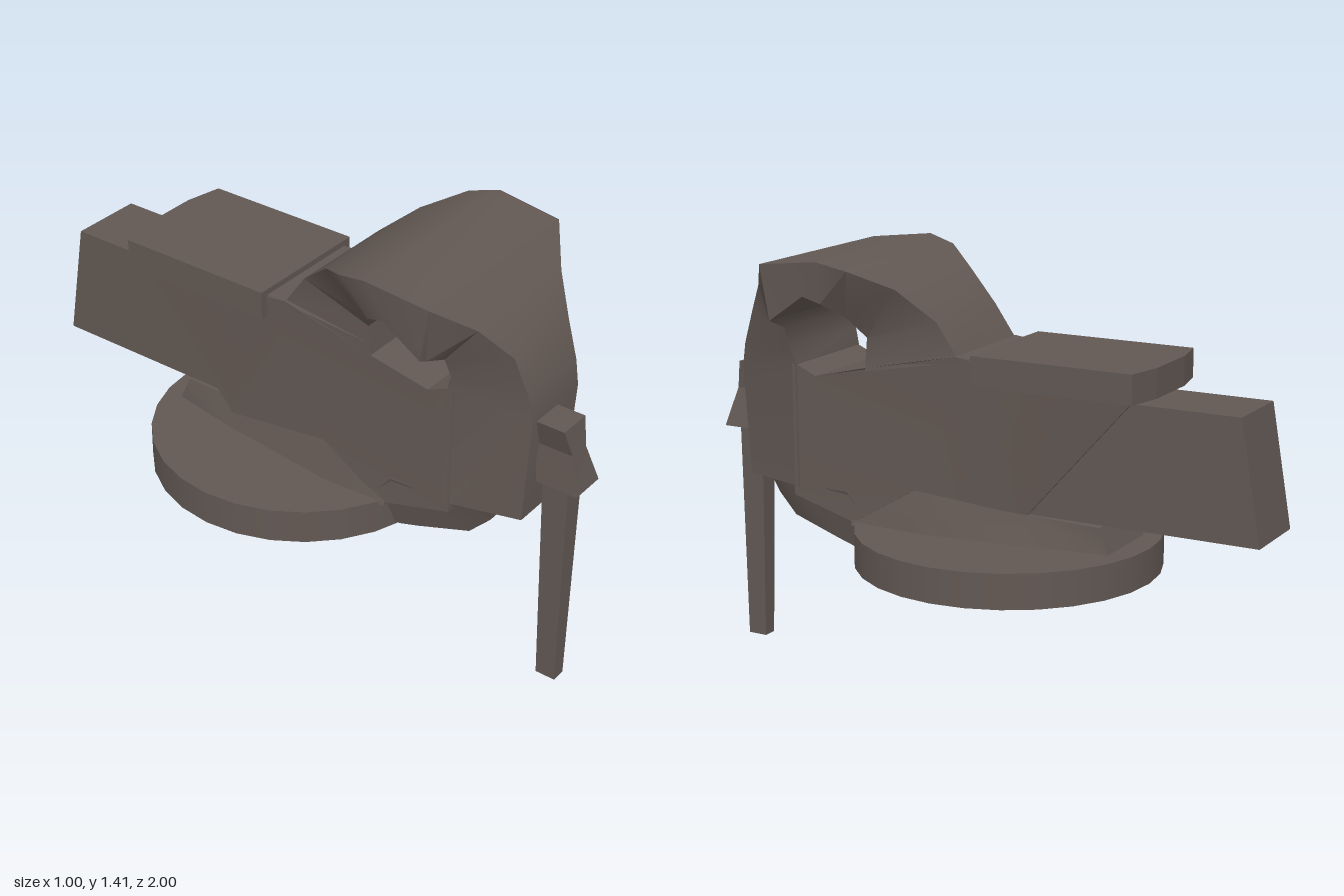
import * as THREE from 'three';
import { toCreasedNormals } from 'three/addons/utils/BufferGeometryUtils.js';

const iron = new THREE.MeshStandardMaterial({ color: 0x625853 });
iron.name = 'castIron';

// Skin a row of four-cornered rings, each running anticlockwise about the travel direction
function loft(rings, crease = 0.5) {
  const pos = [];
  const quad = (a, b, c, d) => pos.push(...a, ...b, ...c, ...a, ...c, ...d);
  for (let r = 0; r < rings.length - 1; r++) {
    for (let i = 0; i < 4; i++) {
      const j = (i + 1) % 4;
      quad(rings[r][i], rings[r][j], rings[r + 1][j], rings[r + 1][i]);
    }
  }
  const [s, e] = [rings[0], rings[rings.length - 1]];
  quad(s[3], s[2], s[1], s[0]);
  quad(e[0], e[1], e[2], e[3]);
  const g = new THREE.BufferGeometry();
  g.setAttribute('position', new THREE.Float32BufferAttribute(pos, 3));
  return toCreasedNormals(g, crease);
}

// Horizontal rectangle at height y
const level = (y, x0, x1, z0, z1) => [[x0, y, z1], [x1, y, z1], [x1, y, z0], [x0, y, z0]];

// Symmetric ring from a lower edge (z, y, half width) to an upper one
const span = ([z0, y0, w0, z1, y1, w1]) => [[-w0, y0, z0], [w0, y0, z0], [w1, y1, z1], [-w1, y1, z1]];

const polygon = (points) => new THREE.Shape(points.map(([x, y]) => new THREE.Vector2(x, y)));

export function createModel() {
  const group = new THREE.Group();
  const add = (name, geometry) => {
    const mesh = new THREE.Mesh(geometry, iron);
    mesh.name = name;
    group.add(mesh);
    return mesh;
  };

  // Round base and the flared swivel pad on it, which narrows to the rear
  add('base', new THREE.CylinderGeometry(0.502, 0.502, 0.115, 28)).position.set(0, 0.485, -0.085);
  add('swivelPad', loft([
    span([-0.51, 0.53, 0.13, -0.47, 0.625, 0.125]),
    span([-0.22, 0.53, 0.18, -0.22, 0.635, 0.135]),
    span([0.15, 0.53, 0.22, 0.15, 0.7, 0.185]),
    span([0.39, 0.53, 0.205, 0.39, 0.56, 0.195]),
  ]));

  // Main body: side profile (z, y), tapered at the front and at the left rear edge
  const body = new THREE.ExtrudeGeometry(polygon([
    [0, 1.13], [-0.08, 1.12], [-0.6, 1.06], [-0.22, 0.63], [0.15, 0.68], [0.38, 0.54],
    [0.62, 0.6], [0.62, 1.05], [0.53, 1.01], [0.33, 1.06],
  ]), { depth: 0.4, bevelEnabled: false });
  body.translate(0, 0, -0.2).rotateY(-Math.PI / 2);
  const p = body.attributes.position;
  for (let i = 0; i < p.count; i++) {
    const x = p.getX(i), z = p.getZ(i);
    if (z > 0.5) p.setX(i, x * 0.93);
    else if (z < -0.1 && x > 0) p.setX(i, 0.135);
  }
  add('body', toCreasedNormals(body, 0.4));

  // Underside of the nose, stepping up to the front column
  add('nose', loft([
    [0.36, 0.44, 0.15, 0.36, 0.58, 0.198],
    [0.41, 0.435, 0.14, 0.41, 0.64, 0.196],
    [0.48, 0.46, 0.145, 0.48, 0.64, 0.192],
    [0.66, 0.51, 0.125, 0.66, 0.64, 0.17],
    [0.73, 0.58, 0.118, 0.74, 0.64, 0.145],
  ].map(span)));

  // Jaw arch over the throat: inner edge to outer edge, from the neck round to the front column
  add('jawArch', loft([
    [0.33, 1.05, 0.2, -0.08, 1.125, 0.195],
    [0.325, 1.1, 0.2, 0.0, 1.13, 0.19],
    [0.32, 1.16, 0.2, 0.07, 1.23, 0.19],
    [0.36, 1.23, 0.26, 0.19, 1.33, 0.24],
    [0.41, 1.28, 0.33, 0.31, 1.39, 0.33],
    [0.47, 1.3, 0.34, 0.41, 1.415, 0.35],
    [0.6, 1.21, 0.335, 0.63, 1.39, 0.34],
    [0.605, 1.2, 0.31, 0.72, 1.3, 0.22],
    [0.615, 1.17, 0.23, 0.8, 1.2, 0.145],
    [0.62, 1.1, 0.2, 0.845, 1.08, 0.13],
    [0.6, 1.04, 0.188, 0.86, 1.0, 0.125],
    [0.6, 0.63, 0.188, 0.84, 0.63, 0.12],
  ].map(span)));

  // Anvil plate with a slightly bowed back edge, drawn in plan as (x, -z)
  const plate = new THREE.ExtrudeGeometry(polygon([
    [-0.225, 0.07], [0.225, 0.07], [0.225, 0.62], [0.1, 0.645], [-0.1, 0.645], [-0.225, 0.62],
  ]), { depth: 0.095, bevelEnabled: false });
  add('anvilPlate', plate.rotateX(-Math.PI / 2).translate(0, 1.05, 0));

  // Slide beam with a raked rear end
  add('slideBeam', loft([
    span([-1, 0.635, 0.125, -0.93, 1.03, 0.125]),
    span([-0.1, 0.635, 0.125, -0.1, 1.03, 0.125]),
  ]));

  // Screw head and hanging handle bar
  add('screwHead', loft([
    level(0.76, -0.08, 0.045, 0.86, 1.0),
    level(0.89, -0.068, 0.005, 0.84, 0.97),
    level(0.985, -0.1, 0.015, 0.84, 0.955),
  ], 0.2));
  add('handleBar', loft([
    level(0.005, -0.042, 0.008, 0.883, 0.952),
    level(0.77, -0.062, 0.012, 0.87, 0.96),
  ]));

  return group;
}
